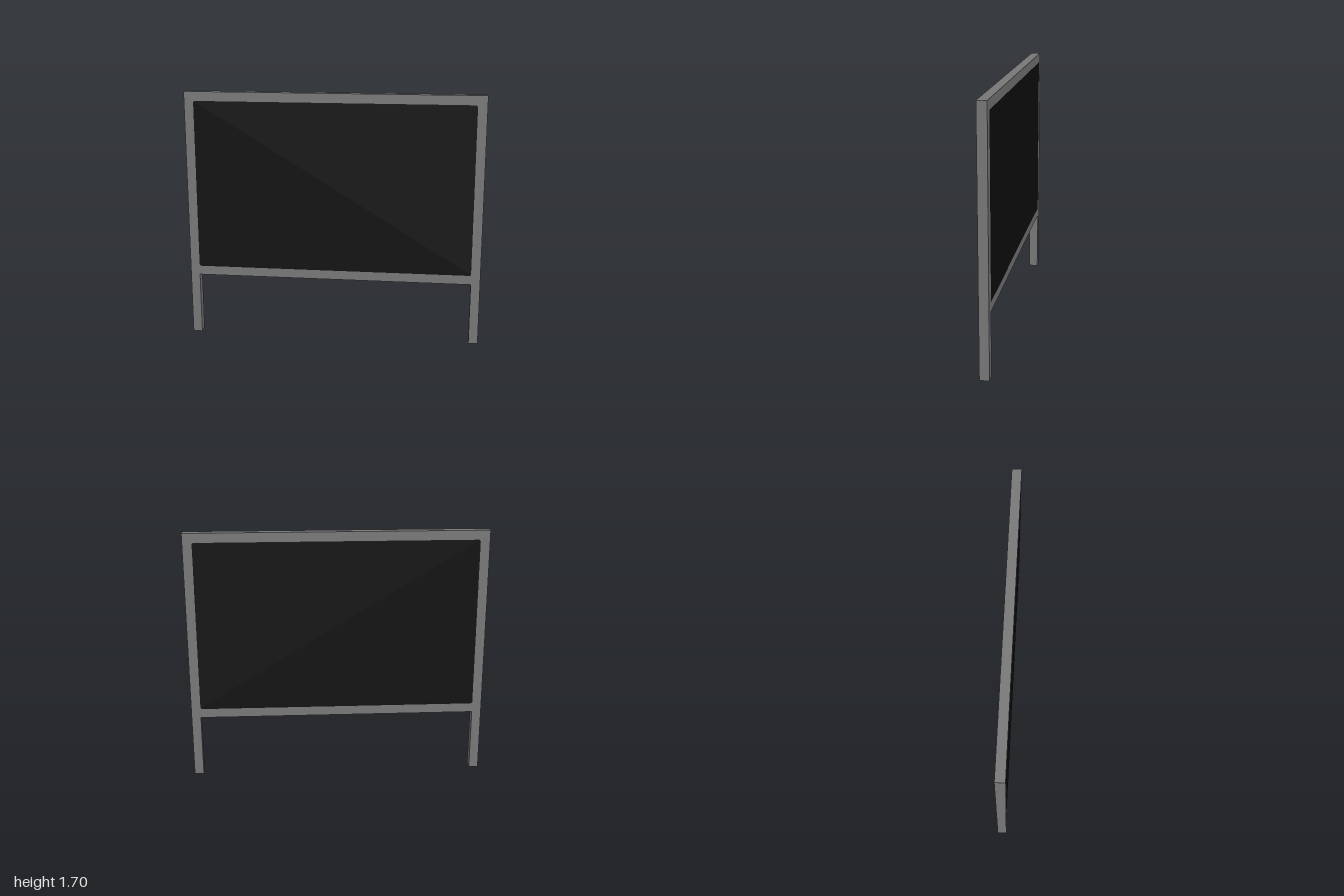
import * as THREE from 'three';

const DEPTH = 0.0625, BAR = 0.0625, TOP = 1.7, RAIL = 0.425;

// Rounded rectangle of the panel, used for the frame opening too
function roundedRect(target, x0, y0, x1, y1, r) {
  target.moveTo(x0 + r, y0);
  target.lineTo(x1 - r, y0);
  target.absarc(x1 - r, y0 + r, r, -Math.PI / 2, 0);
  target.lineTo(x1, y1 - r);
  target.absarc(x1 - r, y1 - r, r, 0, Math.PI / 2);
  target.lineTo(x0 + r, y1);
  target.absarc(x0 + r, y1 - r, r, Math.PI / 2, Math.PI);
  target.lineTo(x0, y0 + r);
  target.absarc(x0 + r, y0 + r, r, Math.PI, Math.PI * 1.5);
  return target;
}

// Extrusion centred on z = 0
function slab(shape, depth, material, name) {
  const geometry = new THREE.ExtrudeGeometry(shape, { depth, bevelEnabled: false, curveSegments: 4 });
  geometry.translate(0, 0, -depth / 2);
  const mesh = new THREE.Mesh(geometry, material);
  mesh.name = name;
  return mesh;
}

export function createModel() {
  const group = new THREE.Group();
  group.name = 'standingBoard';

  const frameGrey = new THREE.MeshStandardMaterial({ name: 'frame grey', color: 0x777777 });
  const boardBlack = new THREE.MeshStandardMaterial({ name: 'board black', color: 0x0d0d0d });

  const inner = 1 - BAR;
  const opening = [-inner, RAIL + BAR, inner, TOP - BAR, 0.014];

  // Frame with two legs, cut out for the board
  const outline = new THREE.Shape([
    [-1, 0], [-inner, 0], [-inner, RAIL], [inner, RAIL],
    [inner, 0], [1, 0], [1, TOP], [-1, TOP],
  ].map(([x, y]) => new THREE.Vector2(x, y)));
  outline.holes.push(roundedRect(new THREE.Path(), ...opening));
  group.add(slab(outline, DEPTH, frameGrey, 'frameAndLegs'));

  // Board filling the opening, flush on both faces
  const board = roundedRect(new THREE.Shape(), ...opening);
  group.add(slab(board, DEPTH - 0.001, boardBlack, 'board'));

  return group;
}
